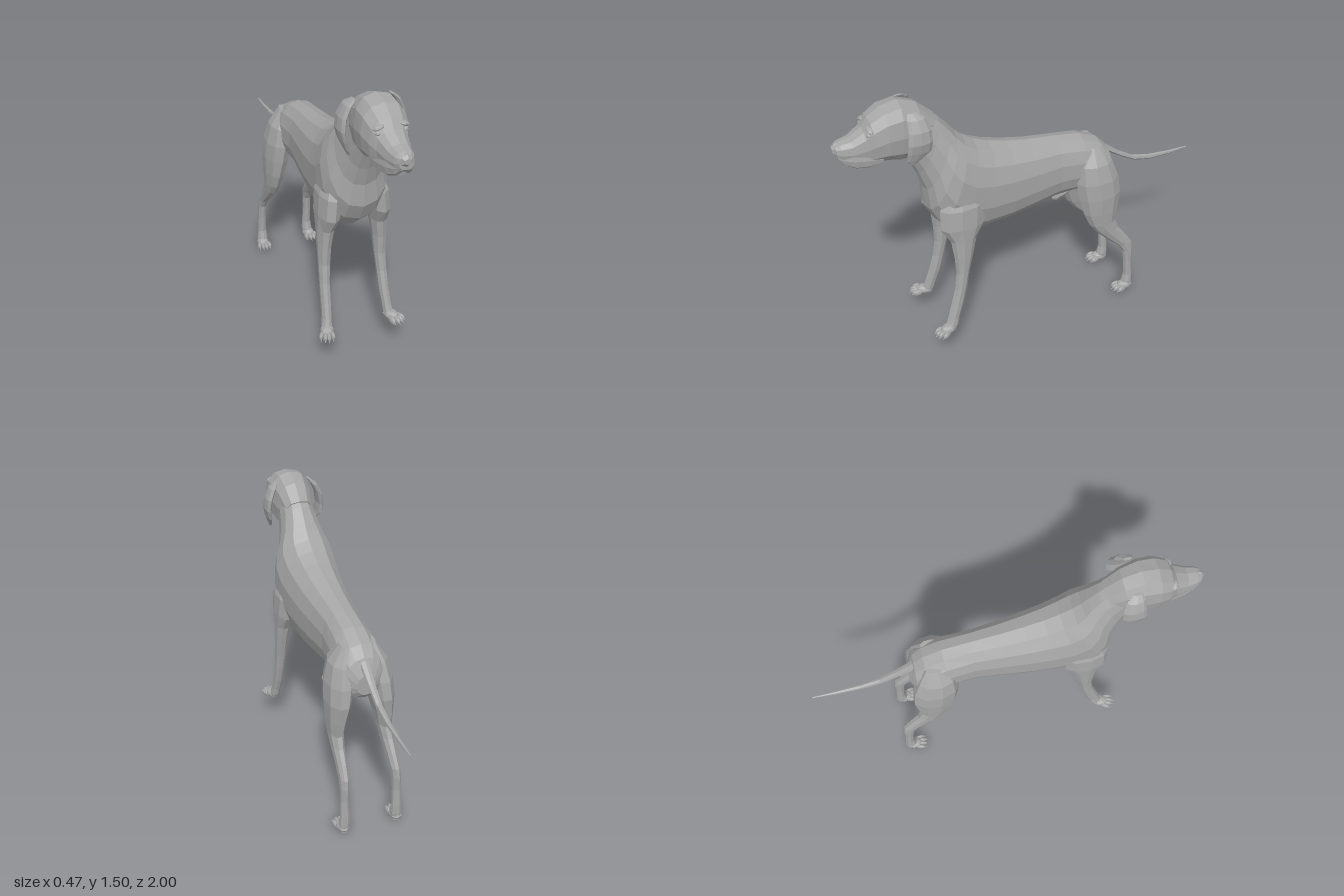
import * as THREE from 'three';

const coat = new THREE.MeshStandardMaterial({ color: 0xa6a6a6, flatShading: true });
coat.name = 'grey coat';

// Skins a closed surface over rings of points, with fan caps at both ends.
function skin(name, rings) {
  const n = rings[0].length, pts = rings.flat(), index = [];
  const mid = r => r.reduce((s, p) => s.add(p), new THREE.Vector3()).divideScalar(n);
  pts.push(mid(rings[0]), mid(rings[rings.length - 1]));
  const a0 = pts.length - 2, b0 = pts.length - 1, last = (rings.length - 1) * n;
  for (let j = 0; j < n; j++) {
    const k = (j + 1) % n;
    index.push(a0, k, j, b0, last + j, last + k);
    for (let i = 0; i < rings.length - 1; i++) {
      const a = i * n + j, b = i * n + k;
      index.push(a, b, a + n, b, b + n, a + n);
    }
  }
  // Turn the faces outward, whichever way the rings run
  let volume = 0;
  const c = new THREE.Vector3();
  for (let i = 0; i < index.length; i += 3) {
    volume += pts[index[i]].dot(c.crossVectors(pts[index[i + 1]], pts[index[i + 2]]));
  }
  if (volume < 0) index.reverse();
  const g = new THREE.BufferGeometry().setFromPoints(pts);
  g.setIndex(index);
  g.computeVertexNormals();
  const mesh = new THREE.Mesh(g, coat);
  mesh.name = name;
  return mesh;
}

const pow = (v, e) => Math.sign(v) * Math.abs(v) ** e;

// Lengthwise form: each ring is [topZ, topY, bottomZ, bottomY, halfWidth, centreX]
function lengthwise(name, rows, n = 12, e = 0.9) {
  return skin(name, rows.map(([tz, ty, bz, by, w, cx = 0]) => Array.from({ length: n }, (_, i) => {
    const a = i / n * Math.PI * 2, u = pow(Math.cos(a), e) / 2;
    return new THREE.Vector3(cx + w * pow(Math.sin(a), e), (ty + by) / 2 + (ty - by) * u, (tz + bz) / 2 + (tz - bz) * u);
  })));
}

// Upright form: each ring is [y, frontZ, backZ, innerX, outerX], mirrored by side
function upright(name, side, rows, n = 9) {
  return skin(name, rows.map(([y, f, b, xi, xo]) => Array.from({ length: n }, (_, i) => {
    const a = i / n * Math.PI * 2;
    return new THREE.Vector3(side * ((xi + xo) / 2 + (xo - xi) / 2 * Math.sin(a)), y, (f + b) / 2 + (f - b) / 2 * Math.cos(a));
  })));
}

function blob(name, x, y, z, sx, sy, sz) {
  const m = new THREE.Mesh(new THREE.SphereGeometry(1, 8, 6), coat);
  m.name = name;
  m.position.set(x, y, z);
  m.scale.set(sx, sy, sz);
  return m;
}

// Paw with a flat pad and four toes, splayed outward
function paw(name, side, x, y, z, turn) {
  const g = new THREE.Group();
  g.name = name;
  g.add(blob('pad', 0, 0.027, 0, 0.035, 0.026, 0.05));
  [-1.5, -0.5, 0.5, 1.5].forEach(t => {
    const front = 0.055 - Math.abs(t) * 0.012;
    const toe = blob('toe', t * 0.019, 0.019, front, 0.012, 0.019, 0.03);
    toe.rotation.y = t * 0.12;
    const claw = new THREE.Mesh(new THREE.ConeGeometry(0.005, 0.02, 5), coat);
    claw.name = 'claw';
    claw.position.set(t * 0.021, 0.012, front + 0.03);
    claw.rotation.x = 1.9;
    g.add(toe, claw);
  });
  g.position.set(side * x, y, z);
  g.rotation.y = side * turn;
  return g;
}

export function createModel() {
  const dog = new THREE.Group();
  dog.name = 'dog';

  // Rump, barrel, chest and neck in one form
  dog.add(lengthwise('torso', [
    [-0.485, 0.87, -0.485, 0.76, 0.05], [-0.45, 0.95, -0.46, 0.73, 0.1],
    [-0.4, 1.0, -0.38, 0.72, 0.12], [-0.3, 1.045, -0.25, 0.72, 0.118],
    [-0.15, 1.07, -0.15, 0.715, 0.112], [0, 1.09, 0, 0.69, 0.127],
    [0.12, 1.115, 0.14, 0.67, 0.142], [0.22, 1.145, 0.3, 0.665, 0.155],
    [0.3, 1.18, 0.44, 0.69, 0.167], [0.36, 1.22, 0.53, 0.77, 0.17],
    [0.4, 1.26, 0.575, 0.86, 0.152], [0.43, 1.3, 0.58, 0.98, 0.124],
    [0.48, 1.36, 0.61, 1.08, 0.102], [0.55, 1.42, 0.655, 1.19, 0.09],
    [0.62, 1.45, 0.7, 1.24, 0.08],
  ], 14));

  // Skull and muzzle
  dog.add(lengthwise('head', [
    [0.5, 1.385, 0.6, 1.2, 0.08], [0.58, 1.46, 0.64, 1.19, 0.098],
    [0.67, 1.495, 0.69, 1.19, 0.11], [0.755, 1.48, 0.75, 1.207, 0.112],
    [0.82, 1.44, 0.8, 1.21, 0.098], [0.85, 1.395, 0.845, 1.215, 0.077],
    [0.915, 1.355, 0.9, 1.225, 0.062], [0.965, 1.345, 0.955, 1.24, 0.05],
    [0.985, 1.335, 0.985, 1.265, 0.036],
  ], 12, 0.8));
  dog.add(lengthwise('lowerJaw', [
    [0.72, 1.26, 0.72, 1.21, 0.06], [0.82, 1.25, 0.82, 1.203, 0.055],
    [0.9, 1.24, 0.9, 1.202, 0.042], [0.945, 1.24, 0.94, 1.215, 0.025],
  ], 8));
  dog.add(lengthwise('nose', [
    [0.955, 1.345, 0.955, 1.29, 0.026], [0.985, 1.34, 0.985, 1.28, 0.03],
    [1.0, 1.325, 1.0, 1.295, 0.018],
  ], 6));

  // Tail, drooping and then levelling out
  dog.add(lengthwise('tail', [
    [-0.38, 0.995, -0.45, 0.88, 0.04], [-0.46, 0.935, -0.48, 0.88, 0.026],
    [-0.55, 0.865, -0.565, 0.825, 0.02], [-0.64, 0.81, -0.655, 0.775, 0.016],
    [-0.75, 0.782, -0.75, 0.752, 0.013], [-0.88, 0.77, -0.88, 0.748, 0.009],
    [-1.0, 0.765, -1.0, 0.757, 0.004],
  ], 7));

  dog.add(lengthwise('bellySheath', [
    [-0.3, 0.75, -0.3, 0.72, 0.02], [-0.22, 0.74, -0.22, 0.675, 0.026],
    [-0.16, 0.71, -0.17, 0.655, 0.018], [-0.145, 0.685, -0.15, 0.665, 0.008],
  ], 7));

  for (const side of [1, -1]) {
    const label = side > 0 ? 'left' : 'right';

    // Hanging upper lip
    dog.add(lengthwise(label + 'Lip', [
      [0.78, 1.27, 0.78, 1.22, 0.012, side * 0.07], [0.85, 1.29, 0.85, 1.205, 0.017, side * 0.056],
      [0.91, 1.3, 0.905, 1.207, 0.021, side * 0.043], [0.96, 1.3, 0.955, 1.23, 0.022, side * 0.026],
      [0.985, 1.29, 0.98, 1.26, 0.015, side * 0.017],
    ], 8));

    // Eye under a brow
    dog.add(blob(label + 'Eye', side * 0.062, 1.378, 0.833, 0.018, 0.011, 0.014));
    const brow = blob(label + 'Brow', side * 0.06, 1.402, 0.825, 0.03, 0.012, 0.02);
    brow.rotation.z = -side * 0.3;
    dog.add(brow);

    dog.add(upright(label + 'Ear', side, [
      [1.46, 0.655, 0.61, 0.085, 0.1], [1.435, 0.665, 0.575, 0.1, 0.133],
      [1.38, 0.67, 0.56, 0.124, 0.158], [1.32, 0.68, 0.56, 0.135, 0.165],
      [1.27, 0.685, 0.565, 0.13, 0.154], [1.23, 0.685, 0.61, 0.122, 0.14],
      [1.205, 0.67, 0.64, 0.12, 0.13],
    ], 8));

    // Foreleg from shoulder to ankle
    dog.add(upright(label + 'FrontLeg', side, [
      [1.0, 0.48, 0.36, 0.09, 0.13], [0.89, 0.54, 0.3, 0.07, 0.178],
      [0.78, 0.545, 0.31, 0.08, 0.186], [0.7, 0.498, 0.36, 0.098, 0.185],
      [0.6, 0.487, 0.385, 0.113, 0.185], [0.5, 0.482, 0.41, 0.12, 0.183],
      [0.4, 0.497, 0.43, 0.129, 0.184], [0.3, 0.525, 0.455, 0.133, 0.187],
      [0.22, 0.55, 0.483, 0.14, 0.191], [0.18, 0.565, 0.493, 0.143, 0.198],
      [0.148, 0.56, 0.51, 0.148, 0.196],
    ]));
    dog.add(paw(label + 'FrontPaw', side, 0.178, 0.138, 0.553, 0.35));

    // Hind leg with thigh, shank and hock
    dog.add(upright(label + 'HindLeg', side, [
      [0.99, -0.3, -0.4, 0.05, 0.09], [0.9, -0.25, -0.45, 0.03, 0.15],
      [0.8, -0.24, -0.485, 0.03, 0.174], [0.7, -0.255, -0.497, 0.048, 0.18],
      [0.6, -0.28, -0.482, 0.075, 0.176], [0.52, -0.315, -0.468, 0.09, 0.17],
      [0.46, -0.36, -0.495, 0.1, 0.166], [0.4, -0.42, -0.54, 0.106, 0.164],
      [0.33, -0.495, -0.585, 0.113, 0.164], [0.28, -0.528, -0.592, 0.118, 0.165],
      [0.2, -0.54, -0.59, 0.12, 0.165], [0.1, -0.547, -0.598, 0.117, 0.168],
      [0.05, -0.535, -0.6, 0.113, 0.174], [0.006, -0.545, -0.595, 0.12, 0.17],
    ]));
    dog.add(paw(label + 'HindPaw', side, 0.147, 0, -0.555, 0.08));
  }
  return dog;
}
